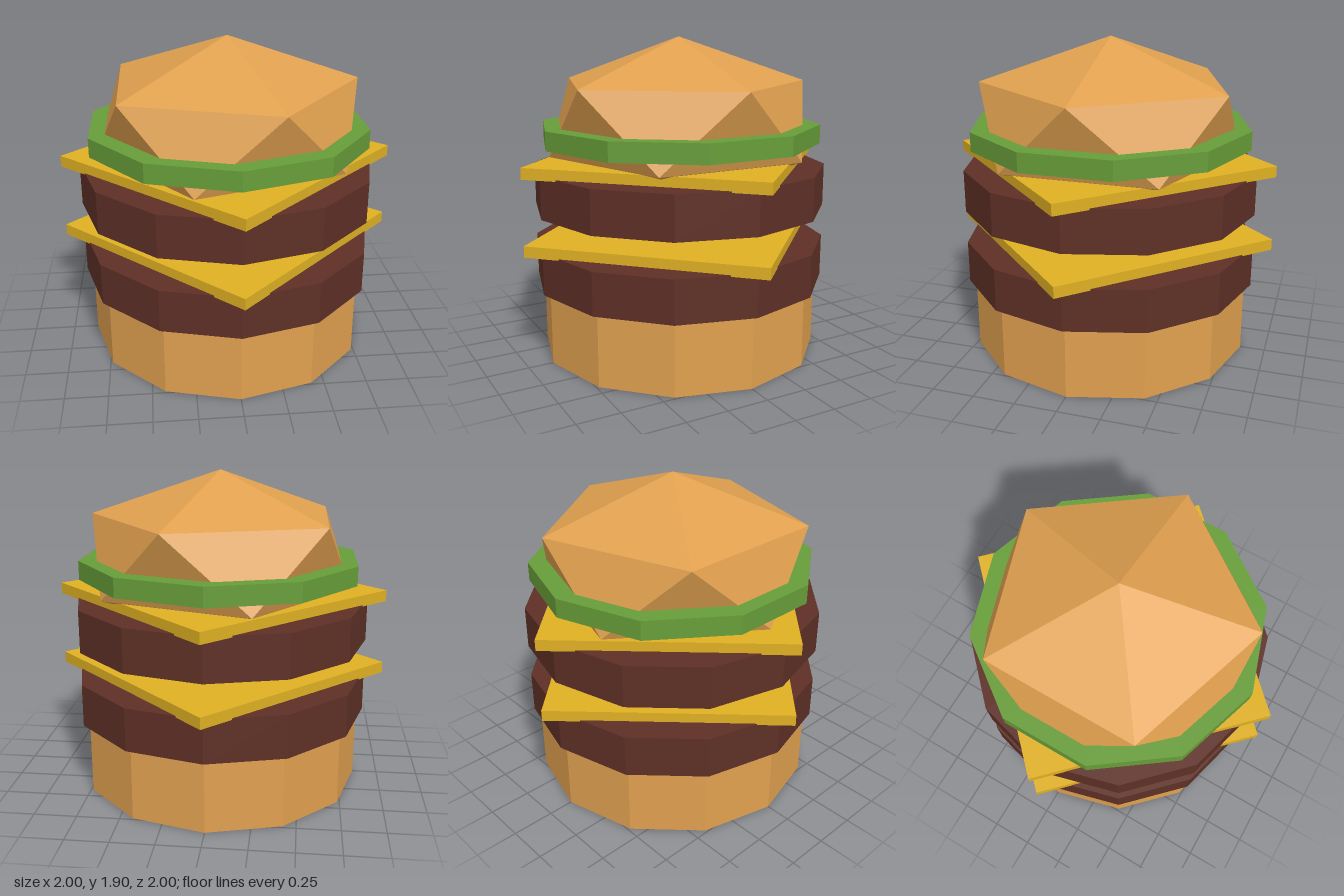
import * as THREE from 'three';
import { ConvexGeometry } from 'three/addons/geometries/ConvexGeometry.js';

const mat = (name, color) => {
  const m = new THREE.MeshStandardMaterial({ color, flatShading: true });
  m.name = name;
  return m;
};

export function createModel() {
  const group = new THREE.Group();
  const bun = mat('bun', 0xe0a04f);
  const meat = mat('meat', 0x5e3026);
  const cheese = mat('cheese', 0xdfb023);
  const lettuce = mat('lettuce', 0x679d39);

  const add = (name, geometry, material) => {
    const mesh = new THREE.Mesh(geometry, material);
    mesh.name = name;
    group.add(mesh);
    return mesh;
  };

  // Faceted disc between two heights
  const disc = (name, radius, y0, y1, sides, material) => {
    const mesh = add(name, new THREE.CylinderGeometry(radius, radius, y1 - y0, sides), material);
    mesh.position.y = (y0 + y1) / 2;
  };

  disc('bottomBun', 0.85, 0, 0.43, 12, bun);

  // Two layers of patty with a diagonal cheese slice on top
  [['lower', 0.43], ['upper', 0.882]].forEach(([level, y]) => {
    disc(level + 'Patty', 0.89, y, y + 0.254, 12, meat);
    const slice = add(level + 'Cheese', new THREE.BoxGeometry(Math.SQRT2, 0.067, Math.SQRT2), cheese);
    slice.position.y = y + 0.279;
    slice.rotation.y = Math.PI / 4;
  });

  disc('lettuce', 0.85, 1.275, 1.388, 10, lettuce);

  // Top bun: a squashed icosahedron, two poles and two staggered rings
  const points = [new THREE.Vector3(0, 1.9, 0), new THREE.Vector3(0, 0.93, 0)];
  for (let i = 0; i < 5; i++) {
    const a = (i * 2 * Math.PI) / 5;
    const x = 0.782 * Math.cos(a), z = 0.782 * Math.sin(a);
    points.push(new THREE.Vector3(x, 1.632, z), new THREE.Vector3(-x, 1.198, -z));
  }
  add('topBun', new ConvexGeometry(points), bun);

  return group;
}
